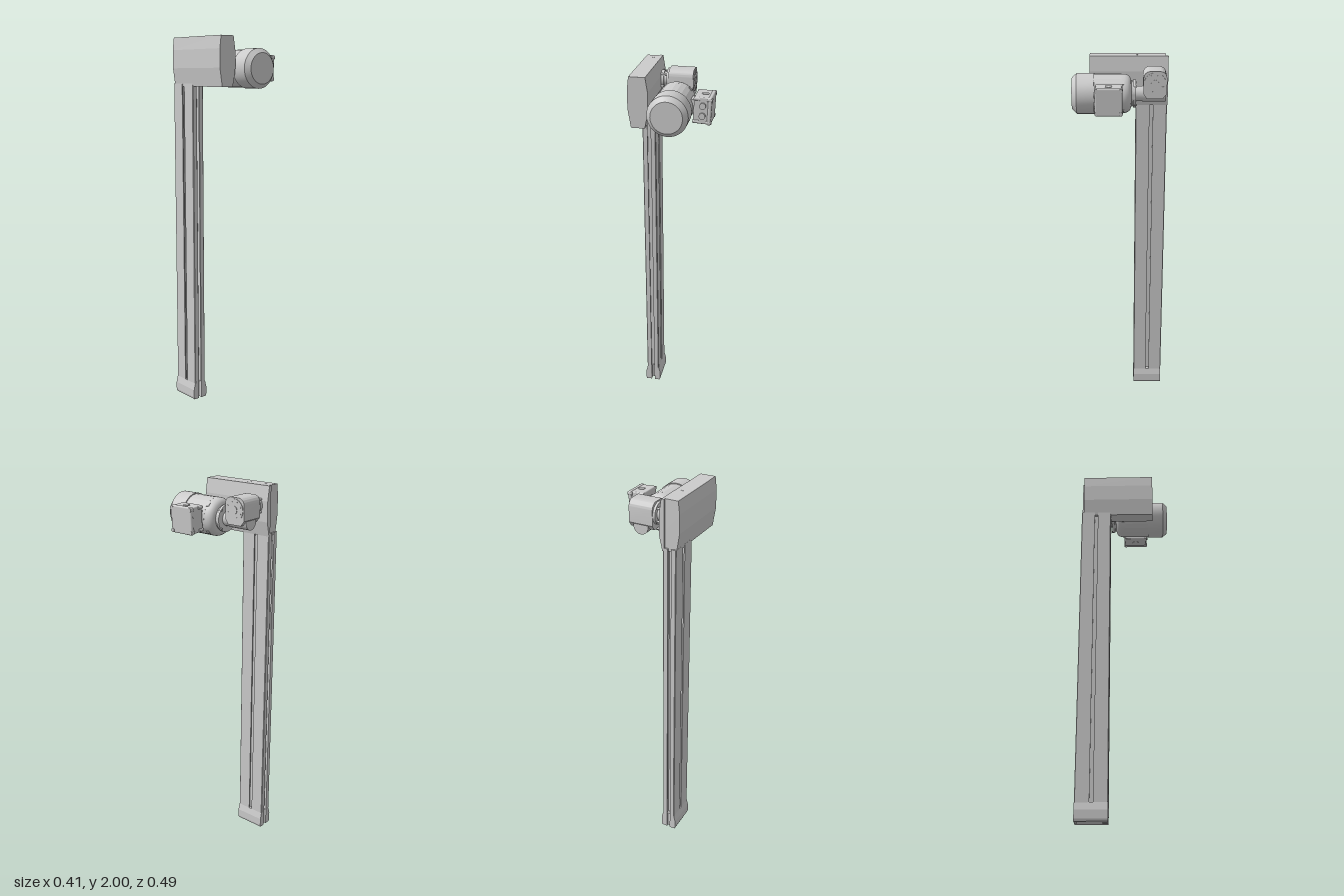
import * as THREE from 'three';
import { RoundedBoxGeometry } from 'three/addons/geometries/RoundedBoxGeometry.js';
import { toCreasedNormals } from 'three/addons/utils/BufferGeometryUtils.js';

const grey = new THREE.MeshStandardMaterial({ color: 0xcccccc });

export function createModel() {
  const model = new THREE.Group();

  const add = (name, geometry, x = 0, y = 0, z = 0, parent = model) => {
    const mesh = new THREE.Mesh(geometry, grey);
    mesh.name = name;
    mesh.position.set(x, y, z);
    parent.add(mesh);
    return mesh;
  };
  const group = (name, x, y, z) => {
    const g = new THREE.Group();
    g.name = name;
    g.position.set(x, y, z);
    model.add(g);
    return g;
  };
  const box = (w, h, d) => new THREE.BoxGeometry(w, h, d);
  const shapeOf = (pts) => new THREE.Shape(pts.map(([x, y]) => new THREE.Vector2(x, y)));
  const extrude = (shape, depth) => new THREE.ExtrudeGeometry(shape, { depth, bevelEnabled: false, curveSegments: 20 });
  // cylinders along each axis
  const cylX = (r, len, n = 32) => new THREE.CylinderGeometry(r, r, len, n).rotateZ(-Math.PI / 2);
  const cylY = (r, len, n = 24) => new THREE.CylinderGeometry(r, r, len, n);
  const cylZ = (r, len, n = 32) => new THREE.CylinderGeometry(r, r, len, n).rotateX(Math.PI / 2);

  // --- slotted column: half outline mirrored, slots on all four sides
  const CX = -0.158, CZ = -0.1625;
  const hw = 0.035, hd = 0.0825, s = 0.009;
  const quarter = [
    [s, hd - 0.03], [s + 0.006, hd - 0.03], [s + 0.006, hd - 0.008], [s, hd - 0.008], [s, hd],
    [hw - 0.003, hd], [hw, hd - 0.003], [hw, s], [hw - 0.006, s], [hw - 0.006, s + 0.008],
    [hw - 0.017, s + 0.008],
  ];
  const flip = (sx, sy, reverse) => {
    const pts = quarter.map(([x, y]) => [x * sx, y * sy]);
    return reverse ? pts.reverse() : pts;
  };
  const outline = [...flip(1, 1), ...flip(1, -1, true), ...flip(-1, -1), ...flip(-1, 1, true)];
  add('column', extrude(shapeOf(outline), 1.7).rotateX(-Math.PI / 2), CX, 0.06, CZ);

  // --- foot cap: two bulged halves with a slot between, open to the front
  const capSide = [[0.009, 0], [0.04, 0], [0.044, 0.012], [0.044, 0.055], [0.035, 0.092], [0.009, 0.092]];
  for (const side of [1, -1]) {
    const pts = capSide.map(([x, y]) => [x * side, y]);
    add('footCapHalf', extrude(shapeOf(pts), 0.165), CX, 0, -0.245);
  }
  add('footCapWeb', box(0.02, 0.09, 0.125), CX, 0.045, -0.17);

  // --- drive housing with tapered flanks
  const housing = [
    [-0.19, 1.745], [-0.121, 1.745], [-0.104, 1.82], [-0.103, 1.925], [-0.115, 2],
    [-0.197, 2], [-0.205, 1.935], [-0.205, 1.84],
  ];
  add('driveHousing', extrude(shapeOf(housing), 0.393), 0, 0, -0.235);
  const strip = [[-0.13, 1.745], ...housing.slice(1, 5), [-0.13, 2]];
  add('housingBackStrip', extrude(shapeOf(strip), 0.014), 0, 0, -0.247);
  for (const z of [-0.195, -0.157]) add('housingScrew', cylY(0.005, 0.002), -0.155, 1.9995, z);
  const key = [[-0.015, -0.005], [-0.008, -0.005], [-0.008, -0.012], [0.008, -0.012], [0.008, -0.005],
    [0.015, -0.005], [0.015, 0.004], [0.01, 0.009], [-0.01, 0.009], [-0.015, 0.004]];
  add('housingKey', extrude(shapeOf(key), 0.001).rotateX(-Math.PI / 2), -0.155, 1.9995, -0.095);

  // --- worm gearbox: wheel case across x, worm case along z
  const gearbox = group('gearbox', 0, 1.9, -0.172);
  const wheelCase = new THREE.Shape();
  wheelCase.moveTo(0.057, -0.05);
  wheelCase.lineTo(0.057, 0.028);
  wheelCase.quadraticCurveTo(0.053, 0.058, 0.025, 0.061);
  wheelCase.lineTo(-0.025, 0.061);
  wheelCase.quadraticCurveTo(-0.056, 0.058, -0.06, 0.028);
  wheelCase.lineTo(-0.06, -0.05);
  wheelCase.lineTo(-0.04, -0.075);
  wheelCase.lineTo(0.04, -0.075);
  const caseGeo = toCreasedNormals(extrude(wheelCase, 0.127).rotateY(Math.PI / 2), 0.5);
  // mirror z so the profile keeps its front towards +z
  caseGeo.rotateY(Math.PI);
  add('wheelCase', caseGeo, 0.067, 0, 0, gearbox);
  add('wormCase', cylZ(0.04, 0.118), 0.005, -0.063, 0.002, gearbox);
  add('wheelCover', cylX(0.055, 0.006), 0.067, 0, 0, gearbox);
  add('outputBoss', cylX(0.02, 0.014), 0.066, 0, 0, gearbox);
  for (let i = 0; i < 8; i++) {
    const a = (i + 0.5) * Math.PI / 4;
    add('coverScrew', cylX(0.005, 0.004, 12), 0.07, 0.042 * Math.sin(a), 0.042 * Math.cos(a), gearbox);
  }
  // mounting neck to the housing
  add('gearboxFlange', cylX(0.055, 0.016), -0.064, 0, -0.002, gearbox);
  add('gearboxNeck', cylX(0.036, 0.06), -0.08, 0, 0, gearbox);
  add('housingFlange', cylX(0.043, 0.016), -0.097, 0, 0, gearbox);
  for (const y of [-0.032, 0.032]) for (const z of [-0.032, 0.032])
    add('mountBolt', cylX(0.006, 0.045, 12), -0.083, y, z, gearbox);

  // --- motor, turned about the z axis
  const motor = group('motor', 0.0055, 1.837, 0);
  const turned = (pts) => toCreasedNormals(
    new THREE.LatheGeometry(pts.map(([r, z]) => new THREE.Vector2(r, z)), 48).rotateX(Math.PI / 2), 0.5);
  add('inputNeck', cylZ(0.038, 0.06), 0, 0, -0.095, motor);
  add('motorEndShield', turned([
    [0, -0.078], [0.069, -0.078], [0.069, -0.064], [0.063, -0.062], [0.065, -0.055], [0.076, -0.052],
    [0.086, -0.046], [0.093, -0.036], [0.097, -0.022], [0.097, 0], [0, 0],
  ]), 0, 0, 0, motor);
  const body = new THREE.CylinderGeometry(0.0975, 0.0975, 0.14, 24).rotateX(Math.PI / 2).toNonIndexed();
  body.computeVertexNormals();
  add('motorBody', body, 0, 0, 0.065, motor);
  add('fanCover', turned([
    [0, 0.131], [0.102, 0.131], [0.102, 0.219], [0.099, 0.222], [0.079, 0.243], [0, 0.243],
  ]), 0, 0, 0, motor);
  for (let i = 0; i < 4; i++) {
    const a = Math.PI / 4 + i * Math.PI / 2;
    add('shieldLug', box(0.02, 0.02, 0.018), 0.09 * Math.cos(a), 0.09 * Math.sin(a), -0.01, motor).rotation.z = a;
    add('flangeBolt', cylZ(0.006, 0.014, 12), 0.066 * Math.cos(a), 0.066 * Math.sin(a), -0.076, motor);
  }
  const plateAngle = 2.4;
  add('ratingPlate', box(0.004, 0.02, 0.085),
    0.0975 * Math.cos(plateAngle), 0.0975 * Math.sin(plateAngle), 0.044, motor).rotation.z = plateAngle;

  // --- terminal box on the motor's left side, slightly tilted
  const terminal = group('terminalBox', 0.158, 1.842, 0.057);
  terminal.rotation.z = -0.05;
  add('terminalNeck', box(0.04, 0.07, 0.066), -0.05, 0, -0.014, terminal);
  add('terminalBase', new RoundedBoxGeometry(0.075, 0.134, 0.126, 2, 0.006), -0.008, 0, 0, terminal);
  add('terminalLid', new RoundedBoxGeometry(0.02, 0.14, 0.136, 3, 0.008), 0.034, 0, 0, terminal);
  for (const y of [-0.057, 0.057]) for (const z of [-0.059, 0.059]) {
    add('lidCorner', cylX(0.01, 0.026, 16), 0.033, y, z, terminal);
    add('baseCorner', cylX(0.009, 0.03, 16), -0.031, y, z, terminal);
  }
  for (const side of [1, -1]) add('cablePlug', cylY(0.018, 0.006), 0, side * 0.0665, 0, terminal);
  for (const y of [-0.025, 0.025]) add('cableGland', cylZ(0.016, 0.016, 24), 0, y, 0.066, terminal);

  return model;
}
